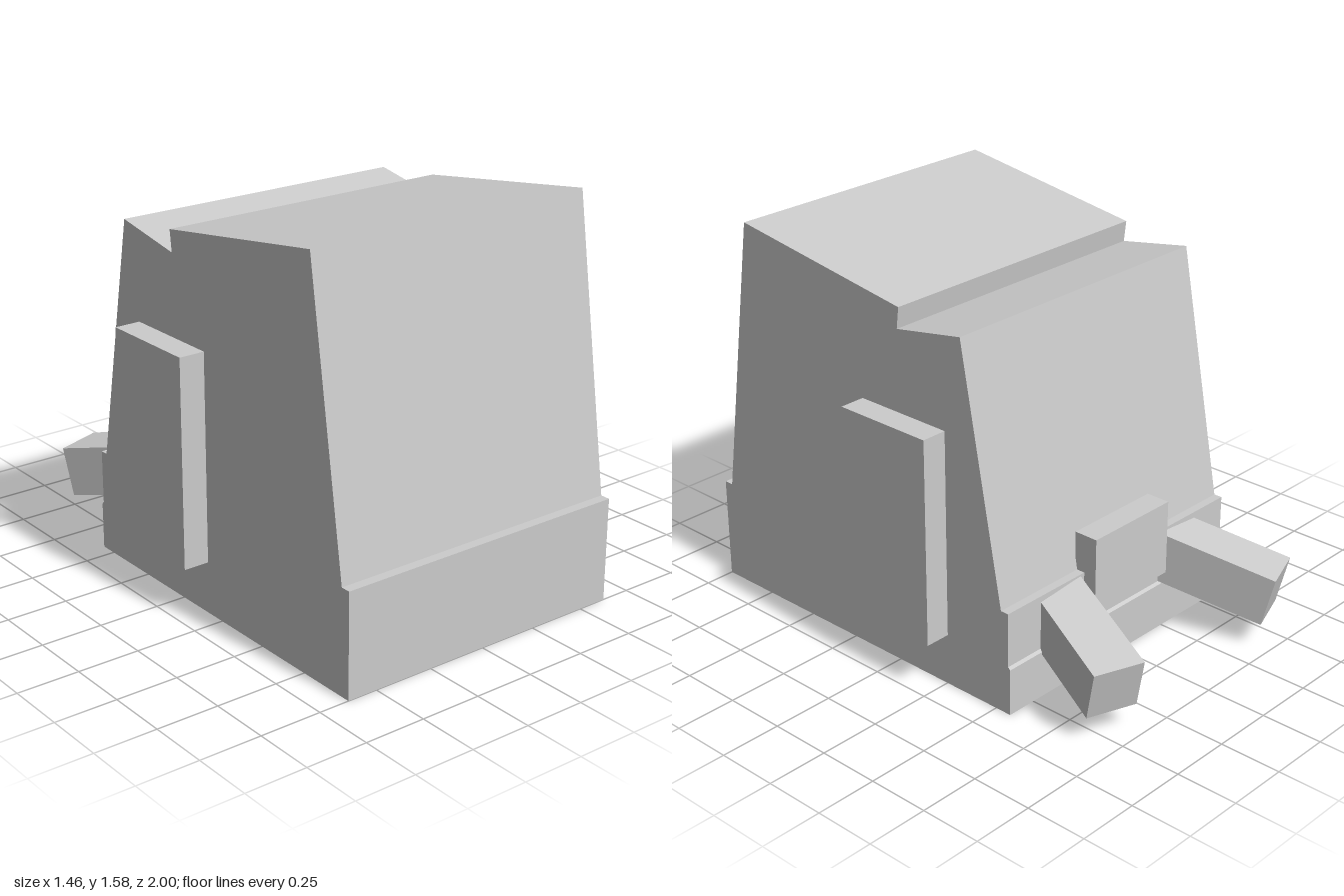
import * as THREE from 'three';

export function createModel() {
  const model = new THREE.Group();
  const material = new THREE.MeshStandardMaterial({ color: 0xcccccc, flatShading: true });

  function add(name, geometry, x = 0, y = 0, z = 0) {
    const mesh = new THREE.Mesh(geometry, material);
    mesh.name = name;
    mesh.position.set(x, y, z);
    model.add(mesh);
    return mesh;
  }

  // Body: side profile as (z, y), extruded across the width
  const width = 1.25;
  const profile = [
    [1, 0], [1, 0.42], [0.96, 0.42], [0.785, 1.575], [-0.035, 1.455], [-0.025, 1.37],
    [-0.335, 1.425], [-0.525, 0.42], [-0.56, 0.42], [-0.56, 0.2], [-0.57, 0.19], [-0.57, 0],
  ];
  const shape = new THREE.Shape(profile.map(([z, y]) => new THREE.Vector2(z, y)));
  const body = new THREE.ExtrudeGeometry(shape, { depth: width, bevelEnabled: false });
  body.translate(0, 0, -width / 2);
  body.rotateY(-Math.PI / 2);
  add('body', body);

  // Plate on the back
  add('backPlate', new THREE.BoxGeometry(0.42, 0.305, 0.1), 0, 0.4225, -0.565);

  for (const side of [1, -1]) {
    const prefix = side > 0 ? 'left' : 'right';

    // Raised panel on the flank
    add(prefix + 'SidePanel', new THREE.BoxGeometry(0.105, 0.835, 0.42), side * 0.6775, 0.6275, -0.045);

    // Square arm, splayed outward and tilted down; its origin is the outer end
    const arm = new THREE.BoxGeometry(0.206, 0.206, 0.5);
    arm.translate(0, 0, 0.25);
    const mesh = add(prefix + 'RearArm', arm, side * 0.48, 0.2, -0.944);
    mesh.rotation.set(THREE.MathUtils.degToRad(-13.5), THREE.MathUtils.degToRad(-20 * side), 0, 'YXZ');
  }

  return model;
}
